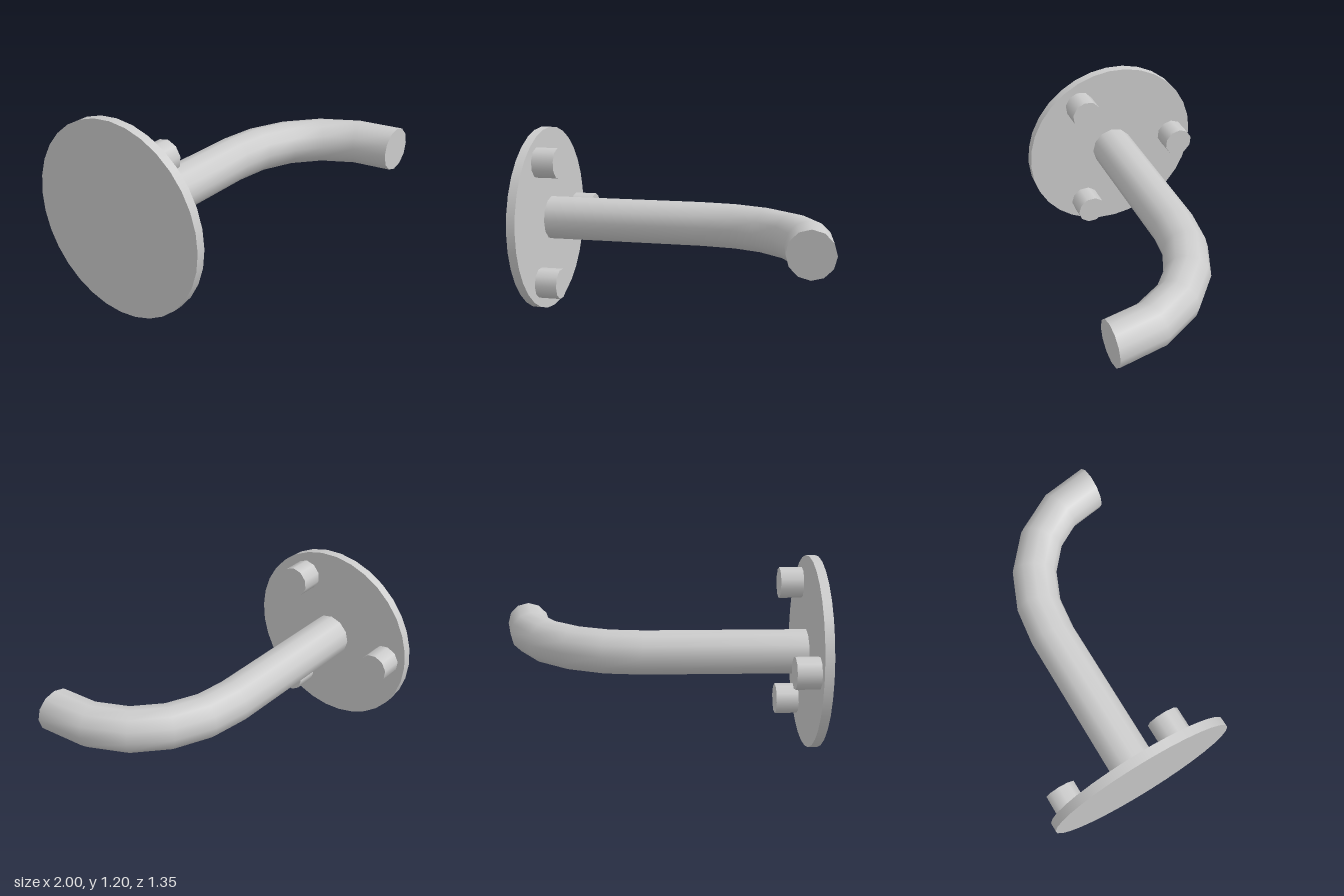
import * as THREE from 'three';

const material = new THREE.MeshStandardMaterial({ color: 0xcccccc });
const CY = 0.6, CZ = -0.076; // axis of the wall plate
const PLATE_X = -0.944; // outer face of the plate

function mesh(name, geometry) {
  const m = new THREE.Mesh(geometry, material);
  m.name = name;
  return m;
}

// Cylinder lying along x, from x0 to x1
function rod(name, radius, x0, x1, sides) {
  const g = new THREE.CylinderGeometry(radius, radius, x1 - x0, sides);
  g.rotateZ(-Math.PI / 2).translate((x0 + x1) / 2, 0, 0);
  return mesh(name, g);
}

// Smooth tube through stations [x, z, heading]; heading turns from +x to +z
function tube(stations, radius, sides) {
  const pos = [], nor = [], idx = [];
  for (const [x, z, h] of stations) {
    for (let j = 0; j <= sides; j++) {
      const a = (j / sides) * Math.PI * 2;
      const n = [Math.cos(a) * Math.sin(h), Math.sin(a), -Math.cos(a) * Math.cos(h)];
      nor.push(...n);
      pos.push(x + radius * n[0], radius * n[1], z + radius * n[2]);
    }
  }
  const w = sides + 1;
  for (let i = 0; i < stations.length - 1; i++) {
    for (let j = 0; j < sides; j++) {
      const a = i * w + j;
      idx.push(a, a + 1, a + w, a + 1, a + w + 1, a + w);
    }
  }
  const g = new THREE.BufferGeometry();
  g.setAttribute('position', new THREE.Float32BufferAttribute(pos, 3));
  g.setAttribute('normal', new THREE.Float32BufferAttribute(nor, 3));
  g.setIndex(idx);
  return g;
}

export function createModel() {
  const model = new THREE.Group();
  model.name = 'wallHook';

  // Round wall plate
  const plate = rod('wallPlate', 0.599, -1, PLATE_X, 32);
  plate.position.set(0, CY, CZ);
  model.add(plate);

  // Three screw heads around the plate axis
  for (let k = 0; k < 3; k++) {
    const pivot = new THREE.Group();
    pivot.name = 'screw' + (k + 1);
    pivot.position.set(0, CY, CZ);
    pivot.rotation.x = (k * Math.PI * 2) / 3;
    const head = rod('screwHead', 0.098, PLATE_X, -0.8, 10);
    head.position.set(0, -0.39, 0.225);
    pivot.add(head);
    model.add(pivot);
  }

  // Arm: straight out from the plate, then bending forward
  const R = 0.142, SIDES = 12;
  const deg = Math.PI / 180;
  const path = [
    [PLATE_X, CZ, 0],
    [0.07, CZ, 6 * deg],
    [0.295, -0.048, 14.5 * deg],
    [0.51, 0.042, 30 * deg],
    [0.69, 0.195, 50 * deg],
    [0.81, 0.405, 71 * deg],
    [0.854, 0.672, 90 * deg],
  ];
  const arm = mesh('arm', tube(path, R, SIDES));
  arm.position.y = CY;
  model.add(arm);

  // Flat end of the arm
  const cap = mesh('armEnd', new THREE.CircleGeometry(R, SIDES));
  cap.position.set(0.854, CY, 0.672);
  model.add(cap);

  return model;
}
